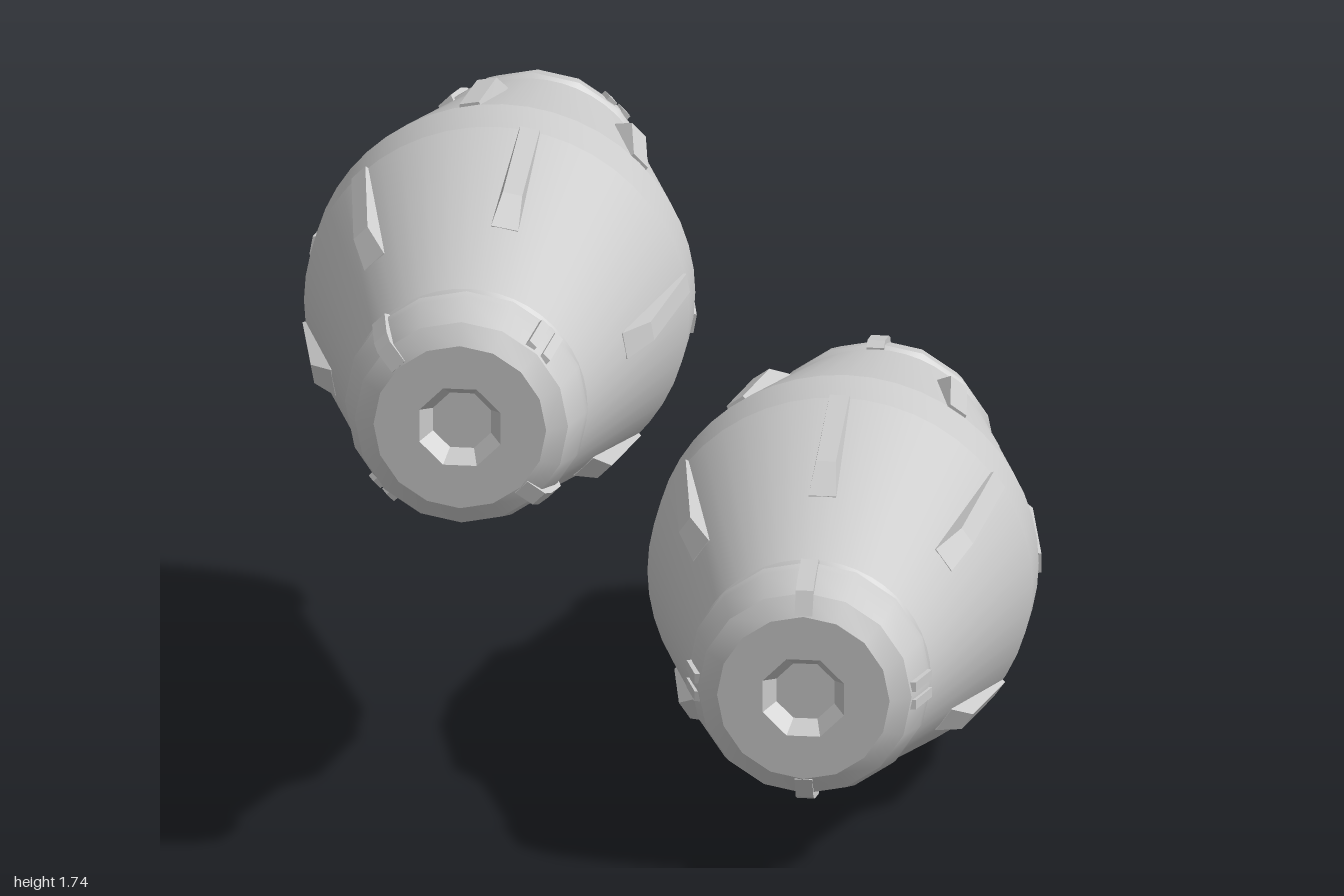
import * as THREE from 'three';
import { toCreasedNormals } from 'three/addons/utils/BufferGeometryUtils.js';

const material = new THREE.MeshStandardMaterial({ color: 0xcccccc });
const V = (x, y) => new THREE.Vector2(x, y);

function mesh(name, geometry, parent) {
  const m = new THREE.Mesh(geometry, material);
  m.name = name;
  parent.add(m);
  return m;
}

// Profile points are [radius, z]; the axis of the lathe is laid along z
function lathe(points, sides, crease, phase = 0) {
  const g = new THREE.LatheGeometry(points.map(([r, z]) => V(r, z)), sides, phase);
  return toCreasedNormals(g.rotateX(Math.PI / 2), crease);
}

const bodyRadius = (z) => 0.49 - 0.185 * Math.max(0, z - 0.08) / 0.675;

// Extrudes a side profile of [z, radius] points to a rib on the +y side
function rib(profile, width, offset = 0, taper = null) {
  const shape = new THREE.Shape(profile.map(([z, r]) => V(z, r)));
  const g = new THREE.ExtrudeGeometry(shape, { depth: width, bevelEnabled: false });
  g.translate(0, 0, -width / 2);
  const p = g.attributes.position;
  if (taper) {
    for (let i = 0; i < p.count; i++) {
      if (p.getY(i) > bodyRadius(p.getX(i)) + 0.003) p.setZ(i, p.getZ(i) * taper);
    }
  }
  g.rotateY(-Math.PI / 2).translate(offset, 0, 0);
  g.computeVertexNormals();
  return g;
}

const ring = (radius, sides, phase) => Array.from({ length: sides }, (_, i) => {
  const a = phase + (i / sides) * Math.PI * 2;
  return V(radius * Math.cos(a), radius * Math.sin(a));
});

const bodyGeometry = lathe([
  [0, -0.755], [0.295, -0.755], [0.305, -0.745], [0.49, -0.08],
  [0.49, 0.08], [0.305, 0.745], [0.295, 0.755], [0, 0.755],
], 48, 0.2);

const capGeometry = lathe([
  [0.285, 0.74], [0.295, 0.76], [0.31, 0.775], [0.305, 0.8], [0.272, 0.895], [0.22, 0.93],
], 16, 0.5);

// End face with an octagonal opening, and the shallow socket behind it
const faceShape = new THREE.Shape(ring(0.22, 16, 0));
faceShape.holes.push(new THREE.Path(ring(0.112, 8, Math.PI / 8)));
const faceGeometry = new THREE.ShapeGeometry(faceShape).translate(0, 0, 0.93);
const socketGeometry = lathe([[0.112, 0.93], [0.08, 0.88], [0, 0.88]], 8, 0.1, Math.PI / 8);

const finGeometry = rib([
  [0.08, 0.45], [0.485, 0.35], [0.485, 0.378], [0.4, 0.44], [0.08, 0.497],
], 0.07, 0, 0.72);

const claspGeometry = rib([
  [0.755, 0.27], [0.9, 0.21], [0.93, 0.222], [0.9, 0.28], [0.865, 0.297], [0.775, 0.318], [0.755, 0.305],
], 0.045);

const barGeometries = [-0.024, 0.024].map((x) => rib([
  [0.785, 0.28], [0.89, 0.25], [0.885, 0.282], [0.79, 0.313],
], 0.026, x));

// One end: cap, clasps, paired bars and the fins on its half of the body
function makeEnd(name, finTurn) {
  const end = new THREE.Group();
  end.name = name;
  mesh('cap', capGeometry, end);
  mesh('capFace', faceGeometry, end);
  mesh('capSocket', socketGeometry, end);
  for (const turn of [0, Math.PI]) {
    mesh('capClasp', claspGeometry, end).rotation.z = turn;
    for (const g of barGeometries) mesh('capBar', g, end).rotation.z = turn + Math.PI / 2;
  }
  for (const degrees of [0, 55, 125, 180, 235, 305]) {
    mesh('fin', finGeometry, end).rotation.z = THREE.MathUtils.degToRad(degrees) + finTurn;
  }
  return end;
}

function makeBarrel(name, x, y, z, turn) {
  const barrel = new THREE.Group();
  barrel.name = name;
  mesh('body', bodyGeometry, barrel);
  const back = makeEnd('backEnd', Math.PI / 2);
  back.rotation.y = Math.PI;
  barrel.add(makeEnd('frontEnd', 0), back);
  barrel.position.set(x, y, z);
  barrel.rotation.z = turn;
  return barrel;
}

export function createModel() {
  const model = new THREE.Group();
  model.name = 'twinCanisters';
  model.add(
    makeBarrel('lowerCanister', 0.43, 0.505, -0.07, 0),
    makeBarrel('upperCanister', -0.43, 1.258, 0.07, Math.PI / 4),
  );
  return model;
}
